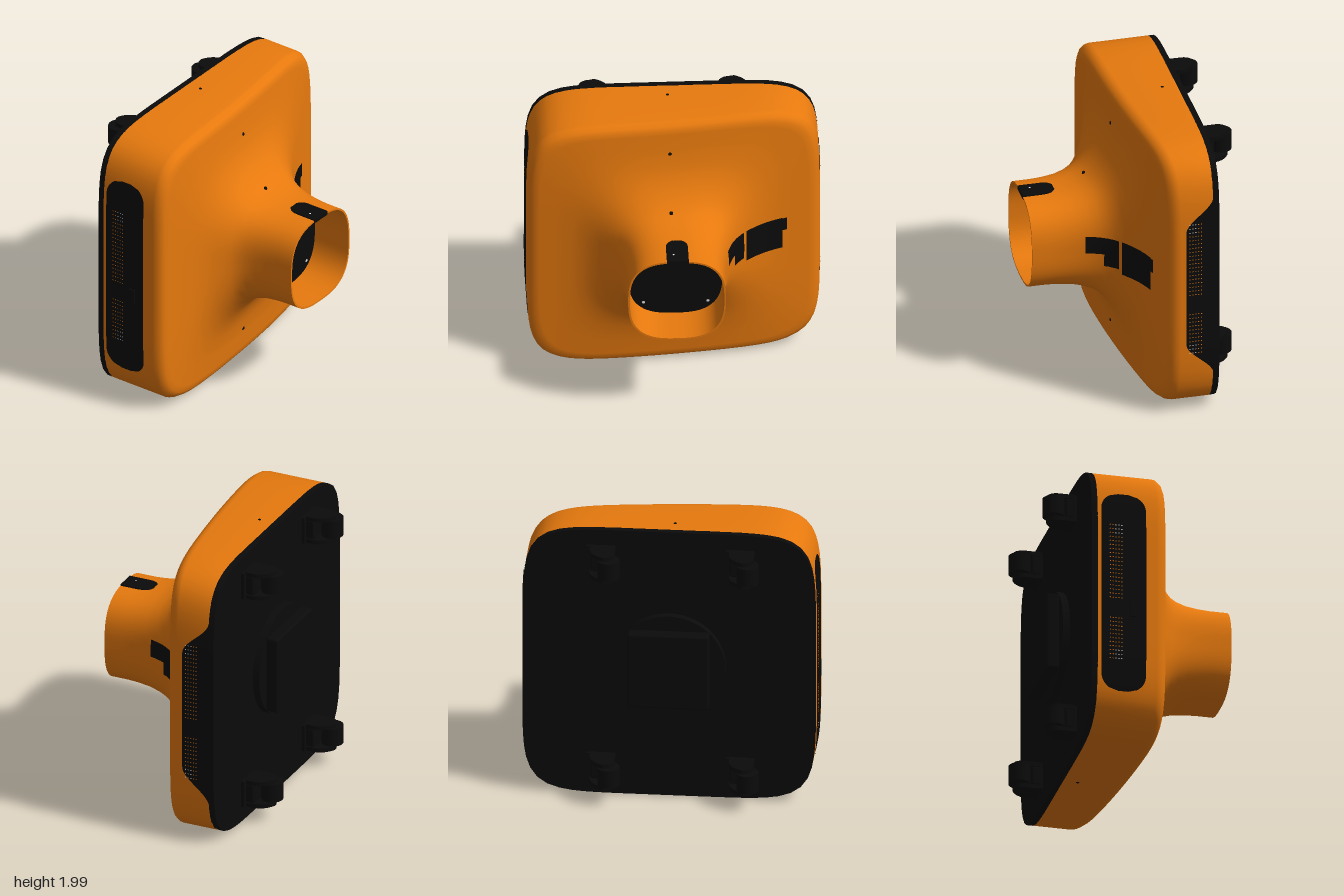
import * as THREE from 'three';
import { mergeGeometries, toCreasedNormals } from 'three/addons/utils/BufferGeometryUtils.js';
import { RoundedBoxGeometry } from 'three/addons/geometries/RoundedBoxGeometry.js';

const mat = (name, color, side = THREE.FrontSide) => {
  const m = new THREE.MeshStandardMaterial({ color, side });
  m.name = name;
  return m;
};

// Shell profile from back edge to neck tip: [half size, z offset, share of front slope]
const PROFILE = [
  [0.99, -0.41, 0], [0.99, -0.075, 1], [0.986, -0.05, 1], [0.968, -0.02, 1], [0.945, -0.005, 1],
  [0.91, 0, 1], [0.8, 0.008, 1], [0.68, 0.03, 1], [0.62, 0.047, 1], [0.56, 0.073, 1], [0.5, 0.108, 1],
  [0.455, 0.145, 1], [0.42, 0.182, 0.9], [0.39, 0.23, 0.7], [0.365, 0.295, 0.45], [0.345, 0.38, 0.2],
  [0.334, 0.48, 0], [0.33, 0.56, 0], [0.33, 0.68, 0],
];
const blend = (s) => THREE.MathUtils.clamp((s - 0.33) / 0.6, 0, 1);
const power = (s) => 2.8 + 3.7 * blend(s) ** 2;
const centreX = (s) => -0.005 + 0.01 * blend(s);
const slope = (x) => 0.075 - 0.05 * (x + 0.93) ** 2;

// Point of the rounded square of half size s at angle a
function squircle(s, a) {
  const c = Math.cos(a), d = Math.sin(a), n = power(s);
  const r = s / (Math.abs(c) ** n + Math.abs(d) ** n) ** (1 / n);
  return [r * c, r * d];
}
// Half width of the rounded square at height dy from its middle
const halfWidth = (s, dy) => s * (1 - Math.min(1, Math.abs(dy / s)) ** power(s)) ** (1 / power(s));

function profileAt(s) {
  let i = 2;
  while (i < PROFILE.length - 2 && PROFILE[i][0] > s) i++;
  const [p, q] = [PROFILE[i - 1], PROFILE[i]];
  const t = (s - p[0]) / (q[0] - p[0]);
  return [p[1] + t * (q[1] - p[1]), p[2] + t * (q[2] - p[2])];
}

// Grid surface from a function of u, v in 0..1
function grid(fn, nu, nv) {
  const pos = [], idx = [];
  for (let i = 0; i <= nu; i++) for (let j = 0; j <= nv; j++) pos.push(...fn(i / nu, j / nv, i));
  for (let i = 0; i < nu; i++) for (let j = 0; j < nv; j++) {
    const a = i * (nv + 1) + j, d = a + nv + 1;
    idx.push(a, a + 1, d + 1, a, d + 1, d);
  }
  const g = new THREE.BufferGeometry();
  g.setAttribute('position', new THREE.Float32BufferAttribute(pos, 3));
  g.setIndex(idx);
  g.computeVertexNormals();
  return g;
}

function squircleShape(s) {
  const pts = [];
  for (let j = 0; j < 96; j++) pts.push(new THREE.Vector2(...squircle(s, (j / 96) * Math.PI * 2)));
  return new THREE.Shape(pts);
}
const extrude = (shape, depth) =>
  new THREE.ExtrudeGeometry(shape, { depth, bevelEnabled: false, curveSegments: 16 });

export function createModel() {
  const model = new THREE.Group();
  const orange = mat('orange shell', 0xe87a0e, THREE.DoubleSide);
  const black = mat('black plastic', 0x0b0b0b, THREE.DoubleSide);
  const white = mat('white dots', 0xf8f8f8);
  const add = (name, geo, m, x = 0, y = 0, z = 0, parent = model) => {
    const mesh = new THREE.Mesh(geo, m);
    mesh.name = name;
    mesh.position.set(x, y, z);
    parent.add(mesh);
    return mesh;
  };

  // Shell flaring into the hollow neck, with lip and inner wall
  const rings = [...PROFILE, [0.318, 0.68, 0], [0.318, 0.38, 0]];
  const shell = grid((u, v, i) => {
    const [s, h, w] = rings[i];
    const [px, py] = squircle(s, v * Math.PI * 2);
    const x = px + centreX(s);
    return [x, 1 + py, h + w * slope(x)];
  }, rings.length - 1, 128);
  add('shell', toCreasedNormals(shell, 0.7), orange);

  // Plate inside the neck with four dots
  add('neckPlate', extrude(squircleShape(0.317), 0.02), black, -0.005, 1, 0.38);
  for (const x of [-0.22, 0.215]) for (const y of [0.78, 1.22])
    add('plateDot', new THREE.CircleGeometry(0.011, 12), white, x, y, 0.402);

  // Arched inlay on top of the neck
  const arch = new THREE.Shape();
  arch.moveTo(-0.074, 0.681);
  arch.lineTo(-0.074, 0.52);
  arch.absarc(0, 0.52, 0.074, Math.PI, Math.PI * 2, false);
  arch.lineTo(0.074, 0.681);
  add('neckInlay', extrude(arch, 0.03).rotateX(Math.PI / 2), black, 0, 1.337, 0);
  add('inlayDot', new THREE.CircleGeometry(0.007, 10).rotateX(-Math.PI / 2), white, -0.025, 1.339, 0.61);

  // Dark inlays following the flare on the left
  const inlays = [[0.36, 0.47, 0, 0.125], [0.405, 0.47, -0.09, 0], [0.487, 0.73, -0.125, 0.125], [0.73, 0.76, 0.02, 0.12]];
  for (const [s0, s1, y0, y1] of inlays)
    add('flareInlay', grid((u, v) => {
      const s = s0 + (s1 - s0) * u, dy = y0 + (y1 - y0) * v;
      const x = halfWidth(s, dy) + centreX(s), [h, w] = profileAt(s);
      return [x + 0.005, 1 + dy, h + w * slope(x) + 0.006];
    }, 16, 8), black);

  // Side panels, curved with the shell
  const sideX = (dy, side) => 0.005 + side * (halfWidth(0.99, dy) + 0.004);
  const panel = (side, half, front, back) => grid((u, v) => {
    const dy = half * (2 * u - 1), f = front(Math.abs(dy)), b = back(Math.abs(dy));
    return [sideX(dy, side), 1 + dy, b + (f - b) * v];
  }, 80, 4);
  add('leftPanel', panel(1, 0.68,
    (d) => -0.22 - 0.19 * THREE.MathUtils.smoothstep(d, 0.43, 0.68) , () => -0.412), black);
  const inset = (d) => 0.12 - Math.sqrt(Math.max(0, 0.0144 - Math.max(0, d - 0.61) ** 2));
  add('rightPanel', panel(-1, 0.73, (d) => -0.075 - inset(d), (d) => -0.385 + inset(d)), black);

  // Vent perforations, with bright ones near the ends
  const dots = { shell: [], bright: [] };
  for (const side of [-1, 1]) for (let r = 0; r <= 33; r++) {
    const dy = -0.5 + r * 0.03;
    if (dy > -0.19 && dy < -0.06) continue;
    for (let c = 0; c < 5; c++) {
      const g = new THREE.CircleGeometry(0.0045, 6).rotateY((side * Math.PI) / 2);
      g.translate(sideX(dy, side) + side * 0.002, 1 + dy, -0.245 - c * 0.02);
      (Math.abs(dy) > 0.42 && c < 3 ? dots.bright : dots.shell).push(g);
    }
  }
  add('ventDots', mergeGeometries(dots.shell), orange);
  add('ventBrightDots', mergeGeometries(dots.bright), white);

  // Side button
  add('button', new THREE.BoxGeometry(0.024, 0.11, 0.045), black, -0.988, 0.875, -0.165);

  // Screws on front, top and bottom
  const screw = new THREE.SphereGeometry(0.014, 12, 8);
  for (const dy of [-0.76, -0.4, 0.4, 0.76]) {
    const [h, w] = profileAt(Math.abs(dy));
    add('screw', screw, black, -0.025, 1 + dy, h + w * slope(-0.025) - 0.006);
  }
  for (const y of [0.018, 1.982]) add('screw', screw, black, -0.025, y, -0.31);

  // Back plate, round mount and raised box
  add('backPlate', extrude(squircleShape(0.99), 0.042), black, 0.005, 1, -0.451);
  add('mountDisc', new THREE.CylinderGeometry(0.38, 0.38, 0.05, 48).rotateX(Math.PI / 2), black, 0, 1, -0.475);
  add('mountBox', new RoundedBoxGeometry(0.55, 0.55, 0.09, 3, 0.015), black, 0, 1, -0.542);

  // Casters: wheel, two fork cheeks, neck block and base
  const cheek = new THREE.Shape();
  cheek.moveTo(-0.035, 0.14);
  cheek.lineTo(-0.035, 0.03);
  cheek.quadraticCurveTo(-0.03, -0.04, 0.04, -0.04);
  cheek.quadraticCurveTo(0.135, 0.0, 0.135, 0.1);
  cheek.lineTo(0.135, 0.14);
  const cheekGeo = extrude(cheek, 0.03).rotateX(Math.PI / 2);
  for (const x of [-0.54, 0.4]) for (const y of [0.22, 1.78]) {
    const caster = new THREE.Group();
    caster.name = 'caster';
    caster.position.set(x, y, -0.607);
    model.add(caster);
    add('wheel', new THREE.CylinderGeometry(0.075, 0.075, 0.13, 32), black, 0, 0, 0, caster);
    add('axle', new THREE.CylinderGeometry(0.015, 0.015, 0.19, 12), black, 0, 0, 0, caster);
    add('upperCheek', cheekGeo, black, 0, 0.098, 0, caster);
    add('lowerCheek', cheekGeo, black, 0, -0.068, 0, caster);
    add('forkBlock', new RoundedBoxGeometry(0.16, 0.14, 0.07, 2, 0.015), black, 0.05, 0, 0.11, caster);
    add('base', new THREE.BoxGeometry(0.19, 0.19, 0.025), black, 0.065, 0, 0.146, caster);
  }
  return model;
}
